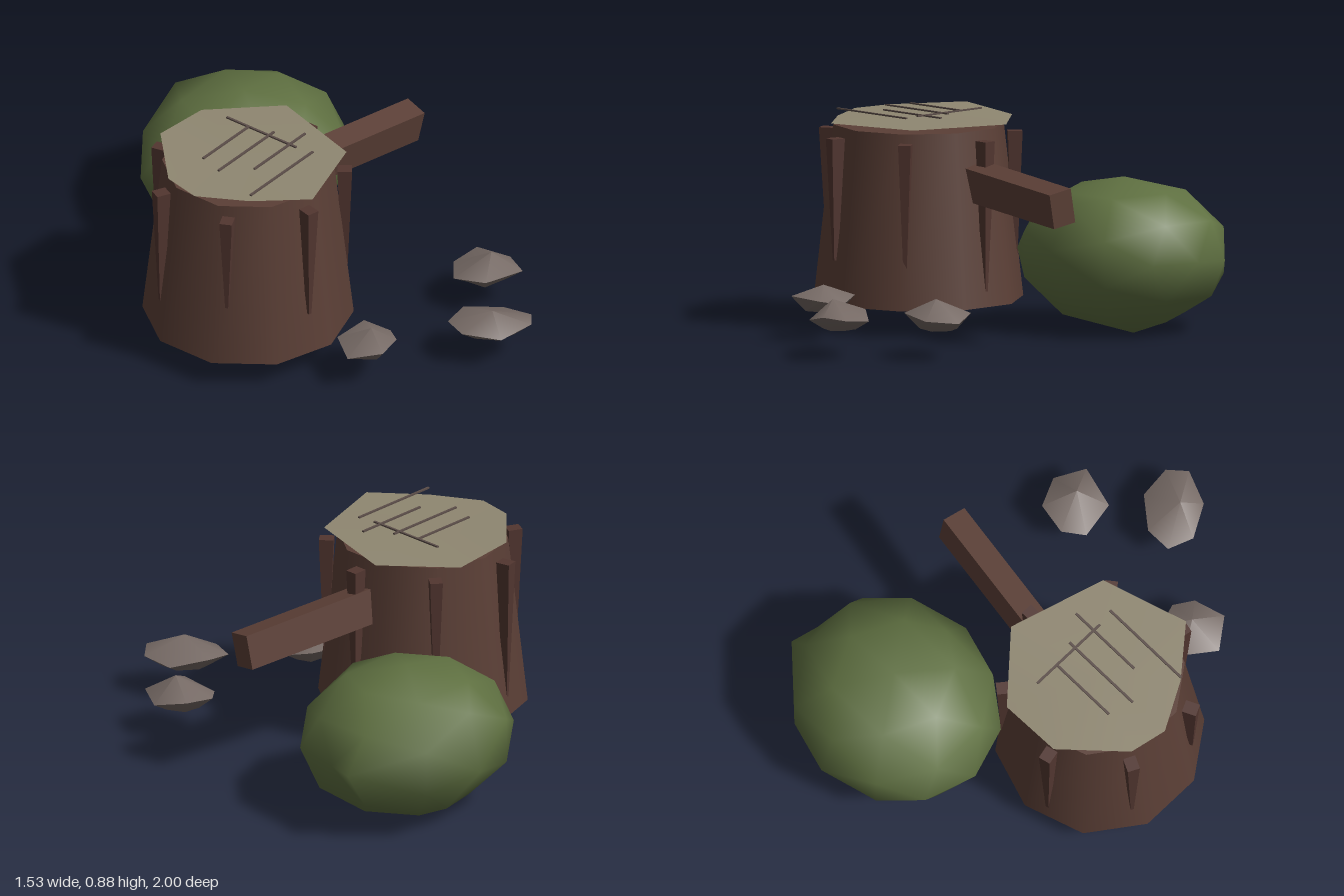
import * as THREE from 'three';
import { mergeVertices, toCreasedNormals } from 'three/addons/utils/BufferGeometryUtils.js';

function material(name, color, extra = {}) {
  const m = new THREE.MeshStandardMaterial({ color, ...extra });
  m.name = name;
  return m;
}

// Builds an indexed geometry from points ([x, y, z]) and triangles
function fromPoints(points, faces) {
  const g = new THREE.BufferGeometry();
  g.setAttribute('position', new THREE.Float32BufferAttribute(points.flat(), 3));
  g.setIndex(faces.flat());
  g.computeVertexNormals();
  return g;
}

// Low bush: a coarse rounded blob with a few corners pulled out of place
function bushGeometry() {
  let g = new THREE.IcosahedronGeometry(1, 1);
  g.deleteAttribute('uv');
  g.deleteAttribute('normal');
  g = mergeVertices(g, 1e-3);
  const nudges = [
    [[0.85, 0, -0.526], [0.07, 0, 0.1]],
    [[1, 0, 0], [-0.03, 0, 0]],
    [[0, -1, 0], [0.14, 0, 0.08]],
    [[0, -0.526, -0.85], [0, -0.1, 0.13]],
    [[0, 0.526, 0.85], [0, 0.06, -0.05]],
    [[0, 0.526, -0.85], [0, 0.04, 0]],
    [[0, 0, -1], [0, -0.04, 0]],
    [[0, 0, 1], [0, 0.04, 0]],
  ].map(([d, o]) => [new THREE.Vector3(...d), new THREE.Vector3(...o)]);
  const p = g.attributes.position;
  const v = new THREE.Vector3();
  for (let i = 0; i < p.count; i++) {
    v.fromBufferAttribute(p, i);
    const hit = nudges.find(([d]) => d.distanceTo(v) < 0.05);
    v.set(0.29 + v.x * 0.47, 0.31 + v.y * 0.31, -0.585 + v.z * 0.415);
    if (hit) v.add(hit[1]);
    p.setXYZ(i, v.x, v.y, v.z);
  }
  g.computeVertexNormals();
  return g;
}

// Pebble: outline loop with a peak above and a smaller flat base below
function rockGeometry(outline, peak) {
  const n = outline.length;
  const cx = outline.reduce((s, o) => s + o[0], 0) / n;
  const cz = outline.reduce((s, o) => s + o[1], 0) / n;
  const points = [
    ...outline.map(([x, z], i) => [x, 0.168 + 0.016 * Math.sin(i * 2.1), z]),
    ...outline.map(([x, z]) => [cx + (x - cx) * 0.55, 0.118, cz + (z - cz) * 0.55]),
    peak,
    [cx, 0.118, cz],
  ];
  const faces = [];
  for (let i = 0; i < n; i++) {
    const j = (i + 1) % n;
    faces.push([2 * n, j, i], [i, j, n + j], [i, n + j, n + i], [n + i, n + j, 2 * n + 1]);
  }
  return toCreasedNormals(fromPoints(points, faces), 0.9);
}

// Bark ridge: box narrowing downward into the trunk
function ridgeGeometry(length) {
  const g = new THREE.BoxGeometry(0.052, length, 0.06);
  g.translate(0, -length / 2, 0);
  const p = g.attributes.position;
  for (let i = 0; i < p.count; i++) {
    if (p.getY(i) < -length / 2) {
      p.setX(i, p.getX(i) * 0.25);
      p.setZ(i, p.getZ(i) * 0.3);
    }
  }
  g.computeVertexNormals();
  return g;
}

export function createModel() {
  const model = new THREE.Group();
  model.name = 'stumpScene';
  const bark = material('bark brown', 0x5b3f36);
  const darkBark = material('dark bark brown', 0x523630);
  const cutWood = material('cut wood', 0x8f8771, { side: THREE.DoubleSide });
  const grain = material('grain grey', 0x5b4d48);
  const leaf = material('leaf green', 0x5f7041);
  const stone = material('stone grey', 0x766a65);

  const add = (name, geometry, mat, parent = model) => {
    const mesh = new THREE.Mesh(geometry, mat);
    mesh.name = name;
    parent.add(mesh);
    return mesh;
  };
  const group = (name) => {
    const g = new THREE.Group();
    g.name = name;
    model.add(g);
    return g;
  };

  // Trunk
  const cx = -0.36, cz = -0.05;
  add('trunk', new THREE.CylinderGeometry(0.35, 0.43, 0.715, 10), bark).position.set(cx, 0.468, cz);

  // Seven bark ridges around the trunk
  const ridges = group('barkRidges');
  [0.62, 0.54, 0.5, 0.42, 0.52, 0.6, 0.56].forEach((length, i) => {
    const a = (i / 7) * Math.PI * 2;
    const ridge = add('barkRidge', ridgeGeometry(length), darkBark, ridges);
    ridge.position.set(cx + Math.cos(a) * 0.393, 0.79, cz + Math.sin(a) * 0.393);
    ridge.rotation.y = Math.PI / 2 - a;
  });

  // Uneven cut top, a thin sheet just above the trunk
  const rim = [
    [-0.466, 0.867, -0.42], [-0.196, 0.842, -0.42], [0.037, 0.848, -0.164], [-0.085, 0.85, 0.243],
    [-0.45, 0.853, 0.355], [-0.615, 0.85, 0.16], [-0.725, 0.85, -0.04], [-0.693, 0.853, -0.2],
  ];
  const fan = rim.map((_, i) => [8, (i + 1) % 8, i]);
  add('cutTop', fromPoints([...rim, [-0.36, 0.855, -0.04]], fan), cutWood);

  // Grain strips: centre x, centre z, size x, size z
  const strips = group('grainLines');
  [
    [-0.37, -0.157, 0.3, 0.01], [-0.37, -0.052, 0.365, 0.01], [-0.285, 0.055, 0.335, 0.01],
    [-0.41, 0.163, 0.41, 0.01], [-0.22, -0.09, 0.01, 0.36],
  ].forEach(([x, z, w, d]) => {
    add('grainLine', new THREE.BoxGeometry(w, 0.006, d), grain, strips).position.set(x, 0.88, z);
  });

  // Broken branch, slightly drooping and rolled
  const branch = add('branch', new THREE.BoxGeometry(0.63, 0.145, 0.105), bark);
  branch.position.set(0.285, 0.6, 0);
  branch.rotation.set(0.2, -0.165, -0.065, 'YZX');

  add('bush', bushGeometry(), leaf);

  // Three pebbles in front
  const rocks = group('rocks');
  [
    [[[-0.37, 0.42], [-0.22, 0.44], [-0.18, 0.545], [-0.235, 0.62], [-0.37, 0.655], [-0.455, 0.54]],
      [-0.3, 0.225, 0.54]],
    [[[0, 0.7], [0.11, 0.695], [0.24, 0.8], [0.25, 0.935], [0.175, 0.995], [0.04, 0.945], [-0.04, 0.805]],
      [0.09, 0.237, 0.86]],
    [[[0.36, 0.445], [0.49, 0.465], [0.55, 0.59], [0.48, 0.71], [0.3, 0.66], [0.28, 0.51]],
      [0.42, 0.245, 0.595]],
  ].forEach(([outline, peak]) => add('rock', rockGeometry(outline, peak), stone, rocks));

  return model;
}
